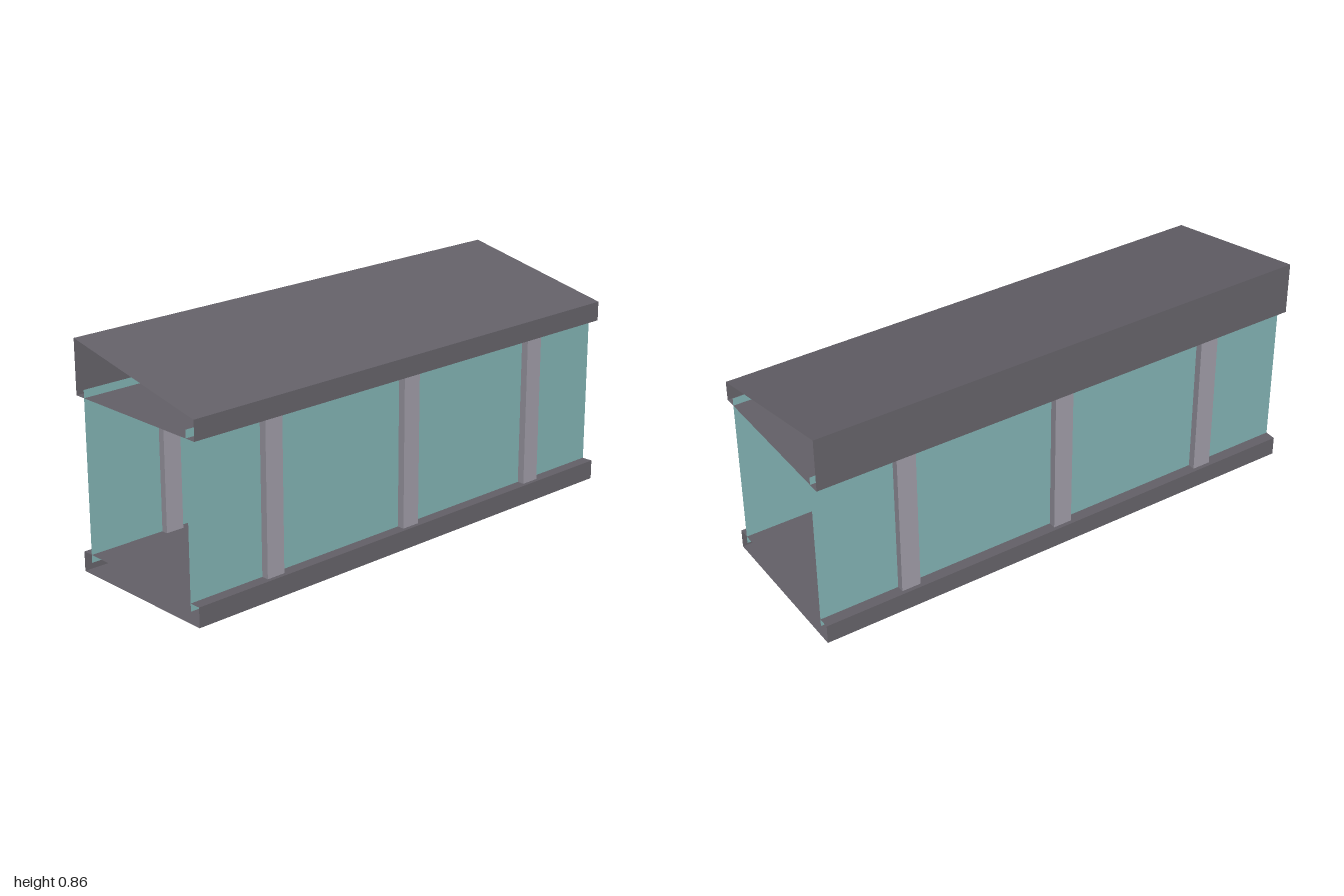
import * as THREE from 'three';

const frameMat = new THREE.MeshStandardMaterial({ color: 0x636067, side: THREE.DoubleSide });
frameMat.name = 'dark grey frame';
const glassMat = new THREE.MeshStandardMaterial({ color: 0x7eadae, side: THREE.DoubleSide });
glassMat.name = 'teal glass';
const postMat = new THREE.MeshStandardMaterial({ color: 0x9b98a3 });
postMat.name = 'light grey post';

// Open-ended sleeve: a counter-clockwise xy outline swept along z, without end caps
function sleeve(outline, length) {
  const pos = [];
  const h = length / 2;
  outline.forEach(([ax, ay], i) => {
    const [bx, by] = outline[(i + 1) % outline.length];
    pos.push(ax, ay, h, ax, ay, -h, bx, by, -h);
    pos.push(ax, ay, h, bx, by, -h, bx, by, h);
  });
  const g = new THREE.BufferGeometry();
  g.setAttribute('position', new THREE.Float32BufferAttribute(pos, 3));
  g.computeVertexNormals();
  return g;
}

export function createModel() {
  const model = new THREE.Group();
  model.name = 'glazedWalkway';
  const add = (name, geometry, material, x = 0, y = 0, z = 0) => {
    const mesh = new THREE.Mesh(geometry, material);
    mesh.name = name;
    mesh.position.set(x, y, z);
    model.add(mesh);
  };

  const W = 0.32, L = 2;

  // Floor slab and single-slope roof, both hollow and open at the ends
  add('floor', sleeve([[-W, 0], [W, 0], [W, 0.075], [-W, 0.075]], L), frameMat);
  add('roof', sleeve([[-W, 0.655], [W, 0.655], [W, 0.73], [-W, 0.86]], L), frameMat);

  // Side walls: one glass sheet each, set in the middle of three posts
  const low = 0.045, high = 0.685, mid = (low + high) / 2;
  const glass = new THREE.PlaneGeometry(L, high - low);
  glass.rotateY(Math.PI / 2);
  const post = new THREE.BoxGeometry(0.055, high - low, 0.075);
  for (const side of [-1, 1]) {
    const label = side > 0 ? 'left' : 'right';
    add(label + 'Glass', glass, glassMat, side * 0.276, mid, 0);
    [0.65, 0, -0.65].forEach((z, i) => add(label + 'Post' + (i + 1), post, postMat, side * 0.277, mid, z));
  }
  return model;
}
